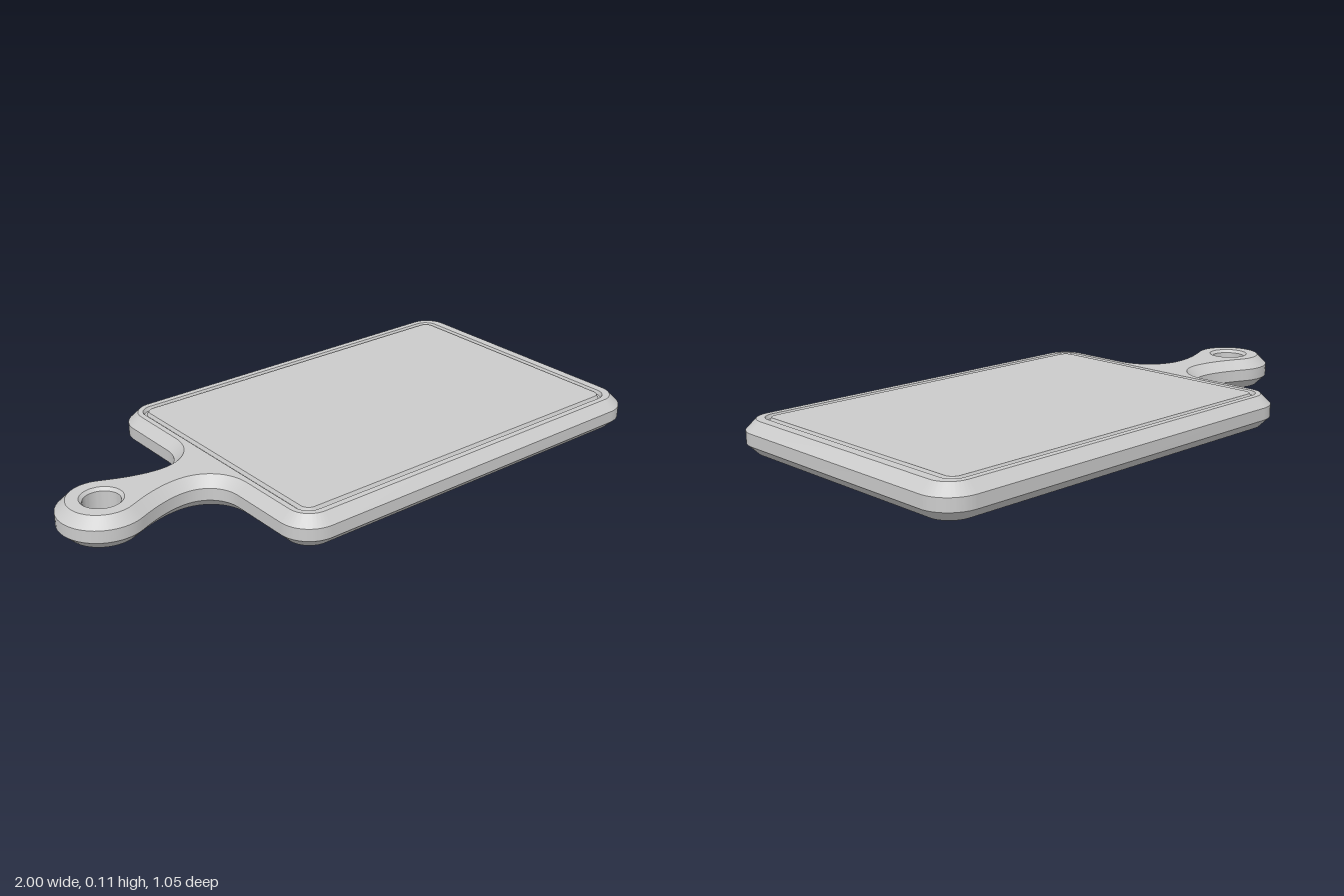
import * as THREE from 'three';
import { toCreasedNormals } from 'three/addons/utils/BufferGeometryUtils.js';

const HEIGHT = 0.11, CHAMFER = 0.034;
const LEFT = -0.49, RIGHT = 1, HALF = 0.525, CORNER = 0.11;
const RING = { x: -0.855, r: 0.145, hole: 0.06 };

// Sampled closed contour without repeated points
function sample(path, divisions = 12) {
  const pts = path.getPoints(divisions);
  return pts.filter((p, i) => p.distanceTo(pts[(i + 1) % pts.length]) > 1e-5);
}

// Moves a counter-clockwise contour inwards by d
function inset(pts, d) {
  const n = pts.length;
  return pts.map((p, i) => {
    const a = p.clone().sub(pts[(i + n - 1) % n]).normalize();
    const b = pts[(i + 1) % n].clone().sub(p).normalize();
    const m = new THREE.Vector2(-a.y - b.y, a.x + b.x).normalize();
    return p.clone().addScaledVector(m, d / (m.x * -a.y + m.y * a.x));
  });
}

// Skin through contours of equal count, each [points, height]
function loft(rings) {
  const n = rings[0][0].length, pos = [], idx = [];
  for (const [pts, y] of rings) for (const p of pts) pos.push(p.x, y, -p.y);
  for (let k = 0; k < rings.length - 1; k++) {
    for (let i = 0; i < n; i++) {
      const a = k * n + i, b = k * n + (i + 1) % n;
      idx.push(a, b, b + n, a, b + n, a + n);
    }
  }
  const g = new THREE.BufferGeometry();
  g.setAttribute('position', new THREE.Float32BufferAttribute(pos, 3));
  g.setIndex(idx);
  return toCreasedNormals(g, Math.PI / 6);
}

// Flat horizontal face with holes
function face(pts, holes, y, up = true) {
  const shape = new THREE.Shape(pts);
  shape.holes = holes.map(h => new THREE.Path(h));
  const g = new THREE.ShapeGeometry(shape);
  if (!up) {
    const ix = g.index.array;
    for (let i = 0; i < ix.length; i += 3) [ix[i], ix[i + 1]] = [ix[i + 1], ix[i]];
    g.computeVertexNormals();
  }
  return g.rotateX(-Math.PI / 2).translate(0, y, 0);
}

function roundedRect(x0, x1, h, r) {
  const q = Math.PI / 2;
  return new THREE.Path()
    .absarc(x1 - r, -h + r, r, -q, 0)
    .absarc(x1 - r, h - r, r, 0, q)
    .absarc(x0 + r, h - r, r, q, 2 * q)
    .absarc(x0 + r, -h + r, r, 2 * q, 3 * q);
}

// Board and handle in one counter-clockwise outline
function boardOutline() {
  const q = Math.PI / 2, r = CORNER, t = THREE.MathUtils.degToRad(65);
  const tx = RING.x + RING.r * Math.cos(t), ty = RING.r * Math.sin(t);
  const s = new THREE.Path();
  s.absarc(RIGHT - r, -HALF + r, r, -q, 0);
  s.absarc(RIGHT - r, HALF - r, r, 0, q);
  s.absarc(LEFT + r, HALF - r, r, q, 2 * q);
  s.lineTo(LEFT, 0.2);
  s.bezierCurveTo(LEFT, 0.13, -0.54, 0.08, -0.61, 0.08);
  s.bezierCurveTo(-0.66, 0.08, -0.72, 0.097, tx, ty);
  s.absarc(RING.x, 0, RING.r, t, 2 * Math.PI - t);
  s.bezierCurveTo(-0.72, -0.097, -0.66, -0.08, -0.61, -0.08);
  s.bezierCurveTo(-0.54, -0.08, LEFT, -0.13, LEFT, -0.2);
  s.absarc(LEFT + r, -HALF + r, r, 2 * q, 3 * q);
  return sample(s, 16);
}

export function createModel() {
  const model = new THREE.Group();
  model.name = 'cuttingBoard';
  const material = new THREE.MeshStandardMaterial({ color: 0xcccccc });
  const add = (name, geometry) => {
    const mesh = new THREE.Mesh(geometry, material);
    mesh.name = name;
    model.add(mesh);
  };

  const outline = boardOutline();
  const rim = inset(outline, CHAMFER);
  const circle = r => sample(new THREE.Path().absarc(RING.x, 0, r, 0, 2 * Math.PI), 24);
  const hole = circle(RING.hole), holeRim = circle(RING.hole + 0.01);
  const groove = sample(roundedRect(-0.437, 0.935, 0.47, 0.05));
  const panel = inset(groove, 0.02);

  // Chamfered edge around board and handle
  add('edge', loft([[rim, 0], [outline, CHAMFER], [outline, HEIGHT - CHAMFER], [rim, HEIGHT]]));

  // Hanging hole with softened rims
  add('hangingHole', loft([[holeRim, HEIGHT], [hole, HEIGHT - 0.01], [hole, 0.01], [holeRim, 0]]));

  // Juice groove running around the cutting surface
  add('juiceGroove', loft([
    [groove, HEIGHT], [inset(groove, 0.006), HEIGHT - 0.012],
    [inset(groove, 0.014), HEIGHT - 0.012], [panel, HEIGHT],
  ]));

  // Flat faces
  add('topRim', face(rim, [holeRim, groove], HEIGHT));
  add('cuttingSurface', face(panel, [], HEIGHT));
  add('underside', face(rim, [holeRim], 0, false));
  return model;
}
